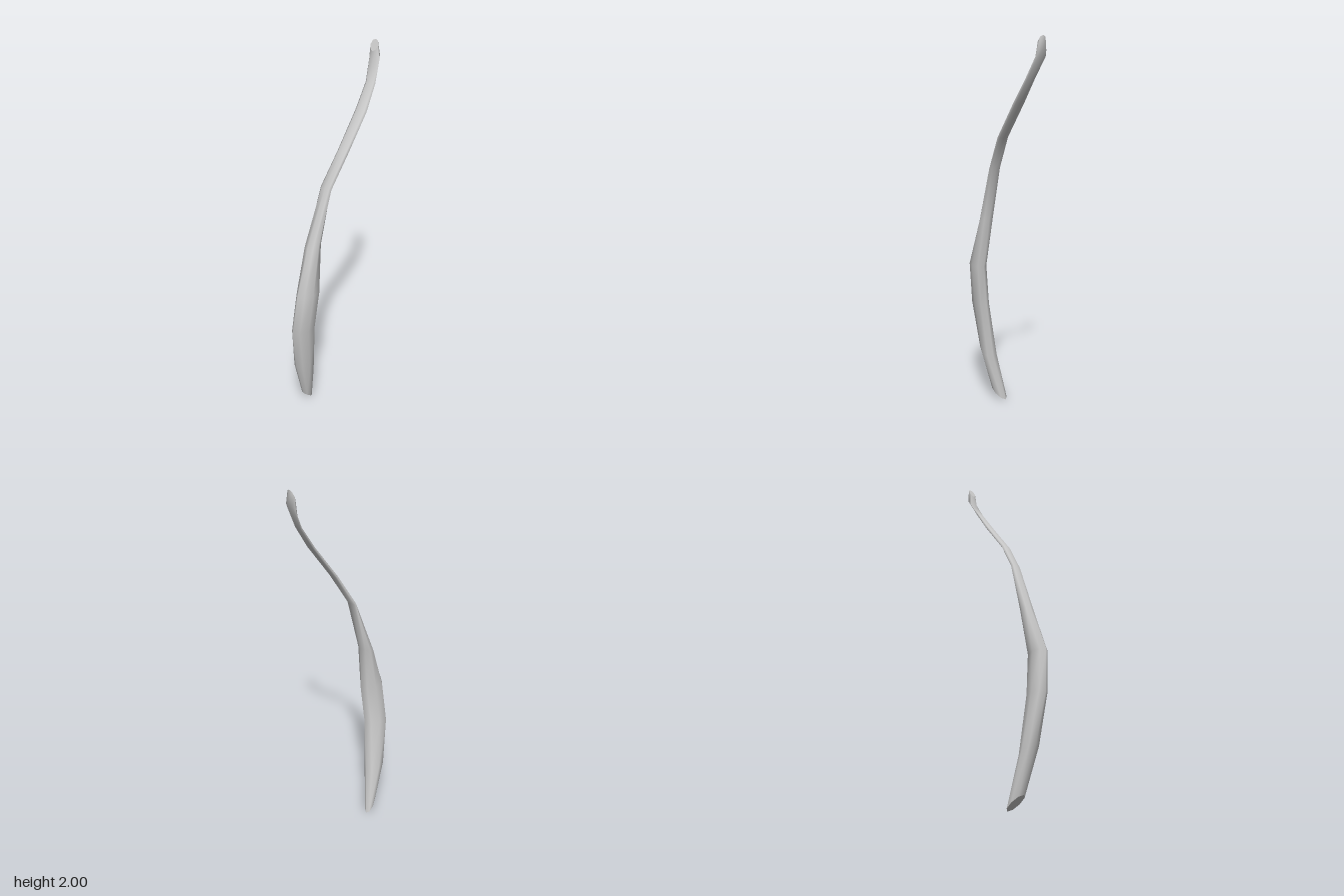
import * as THREE from 'three';

const SIDES = 8;

// Cross-sections from bottom to top: centre, half width across x, half-axis running front to back
const SECTIONS = [
  { c: [-0.06, 0.036, 0.15], w: 0.027, v: [0.014, 0.034, 0.041] },
  { c: [-0.025, 0.28, 0.205], w: 0.045, v: [-0.005, 0.025, 0.055] },
  { c: [0.005, 0.56, 0.235], w: 0.04, v: [-0.01, -0.005, 0.07] },
  { c: [0.03, 0.785, 0.222], w: 0.04, v: [-0.01, 0, 0.068] },
  { c: [0.015, 1.04, 0.165], w: 0.04, v: [-0.005, -0.01, 0.036] },
  { c: [0.025, 1.33, 0.075], w: 0.035, v: [0, 0, 0.011] },
  { c: [0.048, 1.5, -0.024], w: 0.034, v: [0, 0.004, 0.009] },
  { c: [0.05, 1.68, -0.155], w: 0.035, v: [0, 0.004, 0.008] },
  { c: [0.042, 1.8, -0.232], w: 0.03, v: [0, 0.003, 0.006] },
  { c: [0.022, 1.9, -0.281], w: 0.032, v: [0, -0.04, 0.021] },
  { c: [0.018, 1.972, -0.283], w: 0.023, v: [0, -0.028, 0.013] },
];

// Skewed ellipse of points around one cross-section
function ring({ c, w, v }) {
  const points = [];
  for (let j = 0; j < SIDES; j++) {
    const t = (j / SIDES) * Math.PI * 2;
    const s = Math.sin(t);
    points.push(c[0] + w * Math.cos(t) + v[0] * s, c[1] + v[1] * s, c[2] + v[2] * s);
  }
  return points;
}

function makeMesh(name, positions, indices, material) {
  const geometry = new THREE.BufferGeometry();
  geometry.setAttribute('position', new THREE.Float32BufferAttribute(positions, 3));
  geometry.setIndex(indices);
  geometry.computeVertexNormals();
  const mesh = new THREE.Mesh(geometry, material);
  mesh.name = name;
  return mesh;
}

// Flat end closing a cross-section
function makeCap(name, section, up, material) {
  const indices = [];
  for (let j = 0; j < SIDES; j++) {
    const a = j + 1, b = ((j + 1) % SIDES) + 1;
    indices.push(0, ...(up ? [b, a] : [a, b]));
  }
  return makeMesh(name, [...section.c, ...ring(section)], indices, material);
}

export function createModel() {
  const group = new THREE.Group();
  group.name = 'curvedStrand';
  const material = new THREE.MeshStandardMaterial({ color: 0xcccccc, side: THREE.DoubleSide });

  // Smooth skin lofted through all cross-sections
  const indices = [];
  for (let i = 0; i < SECTIONS.length - 1; i++) {
    for (let j = 0; j < SIDES; j++) {
      const k = (j + 1) % SIDES;
      const a = i * SIDES + j, b = i * SIDES + k;
      indices.push(a, a + SIDES, b, b, a + SIDES, b + SIDES);
    }
  }
  group.add(makeMesh('strandBody', SECTIONS.flatMap(ring), indices, material));

  // Cut ends
  group.add(makeCap('lowerEnd', SECTIONS[0], false, material));
  group.add(makeCap('upperEnd', SECTIONS[SECTIONS.length - 1], true, material));
  return group;
}
